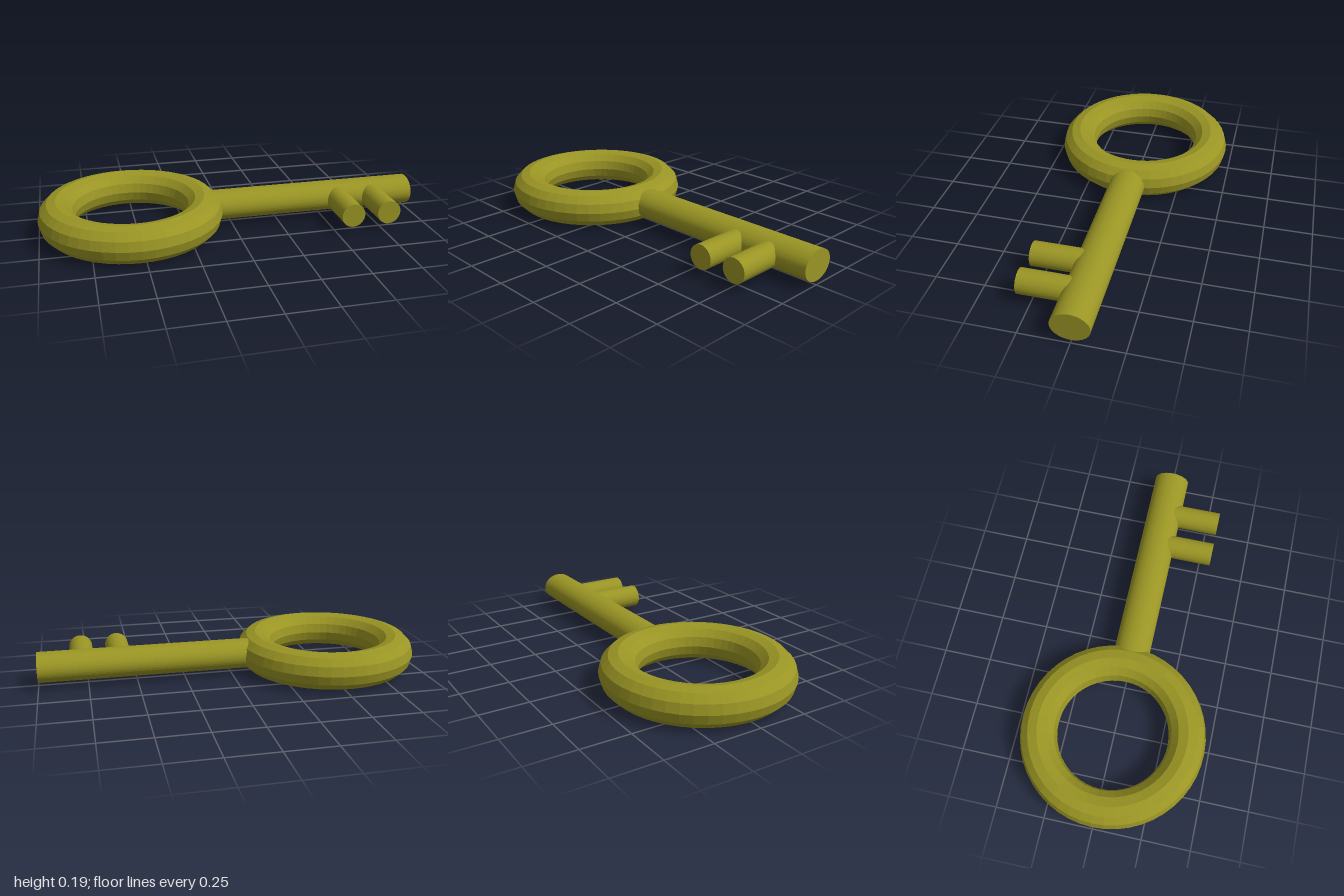
import * as THREE from 'three';

export function createModel() {
  const key = new THREE.Group();
  key.name = 'key';
  const faceted = new THREE.MeshStandardMaterial({ color: 0x9a9524, flatShading: true });
  const midY = 0.095;

  const add = (name, geometry, x, y, z) => {
    const mesh = new THREE.Mesh(geometry, faceted);
    mesh.name = name;
    mesh.position.set(x, y, z);
    key.add(mesh);
  };

  // ring handle lying flat
  add('ringHandle', new THREE.TorusGeometry(0.379, 0.095, 12, 48).rotateX(Math.PI / 2), -0.526, midY, 0);

  // shaft with a slightly flattened round section, its root buried in the ring
  const start = -0.146, end = 1;
  const shaft = new THREE.CylinderGeometry(1, 1, end - start, 48)
    .rotateZ(-Math.PI / 2)
    .scale(1, 0.077, 0.094);
  add('shaft', shaft, (start + end) / 2, 0.097, 0);

  // two round teeth pointing forward from the shaft
  for (const [name, x] of [['innerTooth', 0.58], ['outerTooth', 0.775]]) {
    add(name, new THREE.CylinderGeometry(0.062, 0.062, 0.31, 32).rotateX(Math.PI / 2), x, 0.097, 0.155);
  }
  return key;
}
